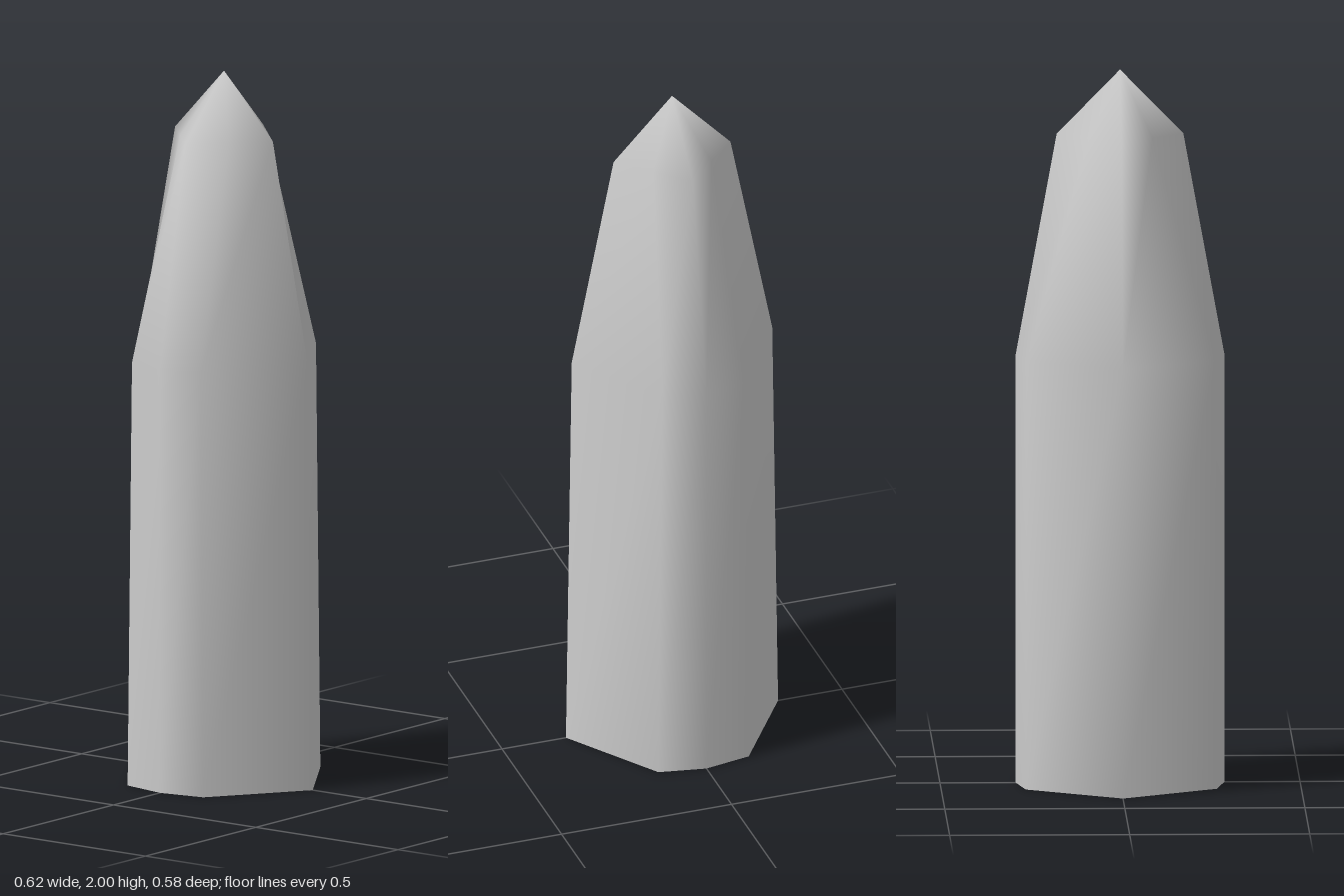
import * as THREE from 'three';

// Eight-sided cross-section: side corner, diagonal corner and front corner, mirrored
function ring(y, side, dx, dz, front) {
  return [
    [0, front], [dx, dz], [side, 0], [dx, -dz],
    [0, -front], [-dx, -dz], [-side, 0], [-dx, dz],
  ].map(([x, z]) => new THREE.Vector3(x, y, z));
}

// Smooth skin through the stacked rings
function loft(rings) {
  const n = rings[0].length;
  const index = [];
  for (let i = 0; i < rings.length - 1; i++) {
    for (let k = 0; k < n; k++) {
      const a = i * n + k;
      const b = i * n + (k + 1) % n;
      index.push(a, b, b + n, a, b + n, a + n);
    }
  }
  // Close to a point at the tip
  const top = (rings.length - 1) * n;
  for (let k = 0; k < n; k++) index.push(top + k, top + (k + 1) % n, top + n);
  const geometry = new THREE.BufferGeometry().setFromPoints([...rings.flat(), new THREE.Vector3(0, 2, 0)]);
  geometry.setIndex(index);
  geometry.computeVertexNormals();
  return geometry;
}

export function createModel() {
  const group = new THREE.Group();
  group.name = 'crystal';
  const material = new THREE.MeshStandardMaterial({ color: 0xcccccc });

  // Shaft, tapered shoulder narrowing to a diamond, and pointed tip
  const base = ring(0, 0.312, 0.133, 0.265, 0.29);
  const body = new THREE.Mesh(loft([
    base,
    ring(1.2, 0.295, 0.12, 0.262, 0.29),
    ring(1.82, 0.172, 0.086, 0.088, 0.176),
  ]), material);
  body.name = 'crystalBody';
  group.add(body);

  // Flat underside
  const outline = new THREE.Shape(base.map((p) => new THREE.Vector2(p.x, p.z)));
  const bottom = new THREE.Mesh(new THREE.ShapeGeometry(outline), material);
  bottom.rotation.x = Math.PI / 2;
  bottom.name = 'crystalBase';
  group.add(bottom);

  return group;
}
